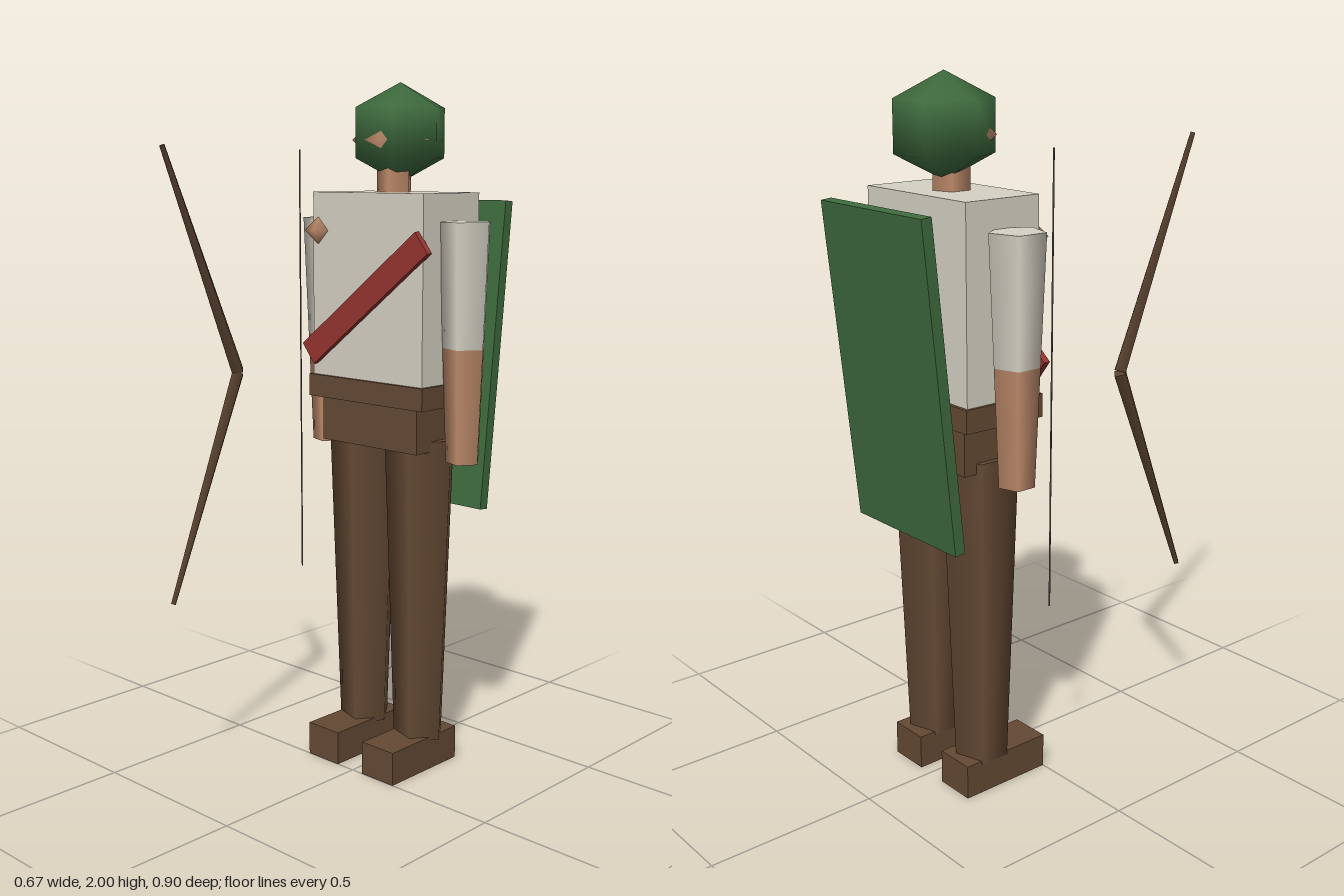
import * as THREE from 'three';

export function createModel() {
  const model = new THREE.Group();
  model.name = 'archerFigure';
  const CX = -0.01, CZ = -0.187; // body axis

  const mat = (name, color) => {
    const m = new THREE.MeshStandardMaterial({ color });
    m.name = name;
    return m;
  };
  const cloth = mat('paleCloth', 0xd6d2c5);
  const brown = mat('brownLeather', 0x654a34);
  const green = mat('forestGreen', 0x3f6c3f);
  const skin = mat('skin', 0xbd8a6a);
  const red = mat('redSash', 0x963530);
  const wood = mat('bowWood', 0x5a4230);
  const string = mat('bowString', 0x484848);

  const add = (name, geo, material, x, y, z) => {
    const mesh = new THREE.Mesh(geo, material);
    mesh.name = name;
    mesh.position.set(x, y, z);
    model.add(mesh);
    return mesh;
  };
  const box = (name, material, w, h, d, x, y, z) =>
    add(name, new THREE.BoxGeometry(w, h, d), material, x, y, z);
  // Five-sided tapered limb with one corner towards +x
  const limb = (name, material, rTop, rBottom, yTop, yBottom, x, z) =>
    add(name, new THREE.CylinderGeometry(rTop, rBottom, yTop - yBottom, 5, 1, false, Math.PI / 2),
      material, x, (yTop + yBottom) / 2, z);

  // Legs, feet and arms
  for (const [side, s] of [['left', 1], ['right', -1]]) {
    box(side + 'Foot', brown, 0.12, 0.1, 0.285, CX + s * 0.11, 0.05, -0.142);
    limb(side + 'Leg', brown, 0.109, 0.077, 1.0, 0.09, CX + s * 0.11, CZ);
    limb(side + 'Sleeve', cloth, 0.077, 0.063, 1.618, 1.27, CX + s * 0.264, CZ);
    limb(side + 'Forearm', skin, 0.063, 0.05, 1.27, 0.945, CX + s * 0.264, CZ);
  }

  // Trunk
  box('hips', brown, 0.365, 0.14, 0.217, CX, 1.04, CZ);
  box('belt', brown, 0.438, 0.065, 0.26, CX, 1.1325, CZ);
  box('torso', cloth, 0.42, 0.53, 0.24, CX, 1.43, CZ);
  const sash = box('sash', red, 0.55, 0.073, 0.02, CX, 1.395, -0.06);
  sash.rotation.z = 0.663;
  add('cloakClasp', new THREE.SphereGeometry(0.041, 5, 2, Math.PI), skin, -0.2, 1.585, -0.069);

  // Neck, head and hood
  limb('neck', skin, 0.052, 0.052, 1.78, 1.69, CX, CZ);
  add('head', new THREE.SphereGeometry(0.123, 5, 2, Math.PI), skin, CX, 1.84, CZ);
  const hood = add('hood', new THREE.SphereGeometry(0.14, 6, 3), green, CX, 1.86, -0.208);
  hood.scale.set(1.1, 1, 1.1);

  // Cloak slanting away from the back at the top
  const cloak = box('cloak', green, 0.438, 0.9, 0.032, CX, 1.222, -0.388);
  cloak.rotation.x = -0.104;

  // Bow: two tapered limbs meeting at the grip, and its string
  const bowX = -0.272;
  for (const [name, s] of [['upper', 1], ['lower', -1]]) {
    const bowLimb = add(name + 'BowLimb', new THREE.CylinderGeometry(0.009, 0.022, 0.68, 4),
      wood, bowX, 1.19 + s * 0.317, 0.317);
    bowLimb.rotation.x = s > 0 ? 0.386 : Math.PI - 0.386;
  }
  add('bowstring', new THREE.CylinderGeometry(0.003, 0.003, 1.25, 4), string, bowX, 1.19, -0.064);

  return model;
}
